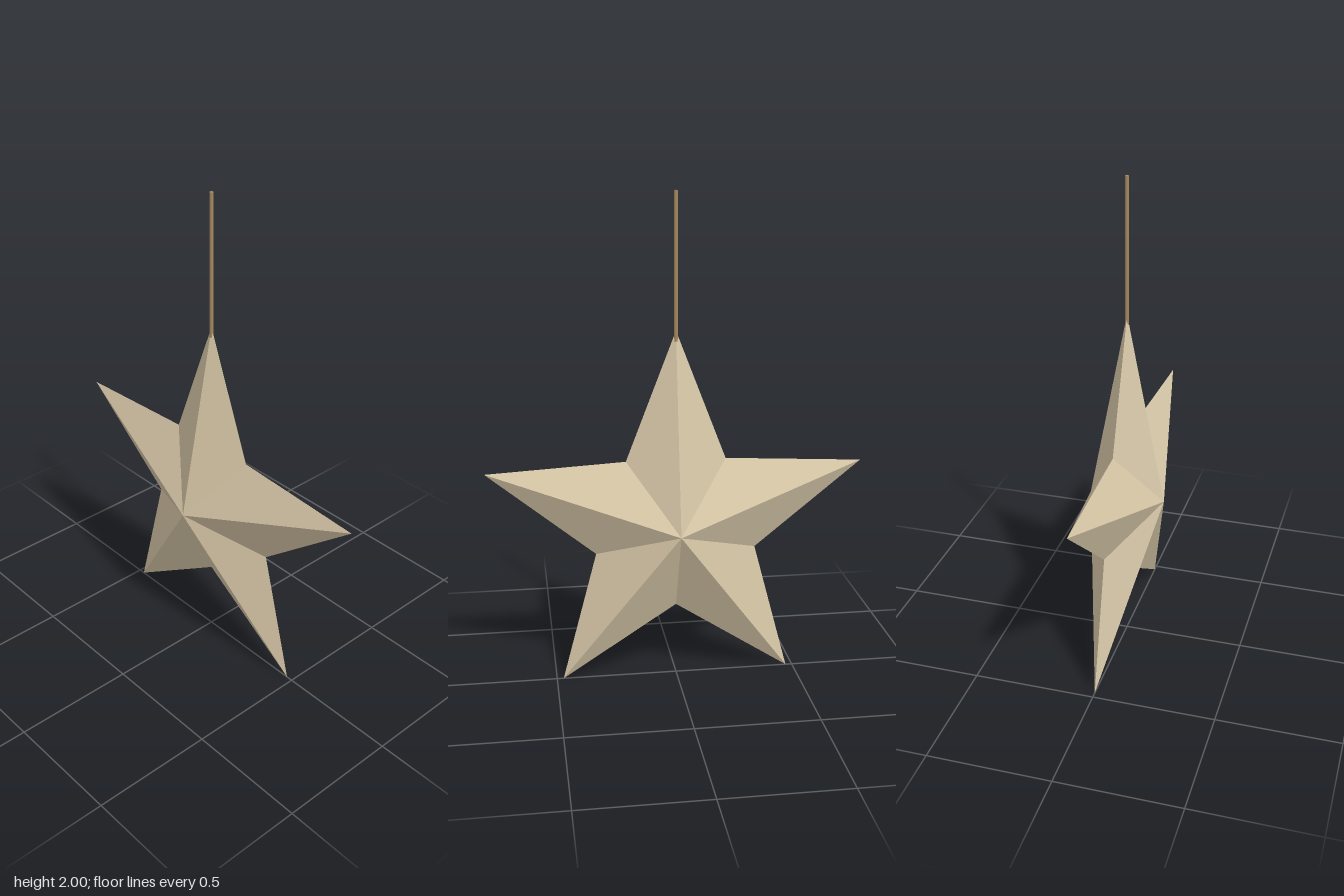
import * as THREE from 'three';

const CENTER_Y = 0.655, OUTER = 0.805, INNER = 0.345, DEPTH = 0.157;

// Faceted star: ten rim points joined to a front and a back apex
function starGeometry() {
  const rim = [];
  for (let i = 0; i < 10; i++) {
    const a = Math.PI / 2 + (i * Math.PI) / 5;
    const r = i % 2 ? INNER : OUTER;
    rim.push([Math.cos(a) * r, Math.sin(a) * r, 0]);
  }
  const positions = [];
  for (let i = 0; i < 10; i++) {
    const p = rim[i], q = rim[(i + 1) % 10];
    positions.push(...p, ...q, 0, 0, DEPTH);
    positions.push(...q, ...p, 0, 0, -DEPTH);
  }
  const geometry = new THREE.BufferGeometry();
  geometry.setAttribute('position', new THREE.Float32BufferAttribute(positions, 3));
  geometry.computeVertexNormals();
  return geometry;
}

export function createModel() {
  const group = new THREE.Group();
  group.name = 'hangingStar';

  const cream = new THREE.MeshStandardMaterial({ color: 0xd8c8a8 });
  cream.name = 'cream';
  const tan = new THREE.MeshStandardMaterial({ color: 0xa88a60 });
  tan.name = 'tan';

  const star = new THREE.Mesh(starGeometry(), cream);
  star.name = 'star';
  star.position.y = CENTER_Y;
  group.add(star);

  // Hanging cord, sunk slightly into the top point
  const bottom = 1.415, top = 2;
  const cord = new THREE.Mesh(new THREE.CylinderGeometry(0.008, 0.008, top - bottom, 8), tan);
  cord.name = 'cord';
  cord.position.y = (top + bottom) / 2;
  group.add(cord);

  return group;
}
